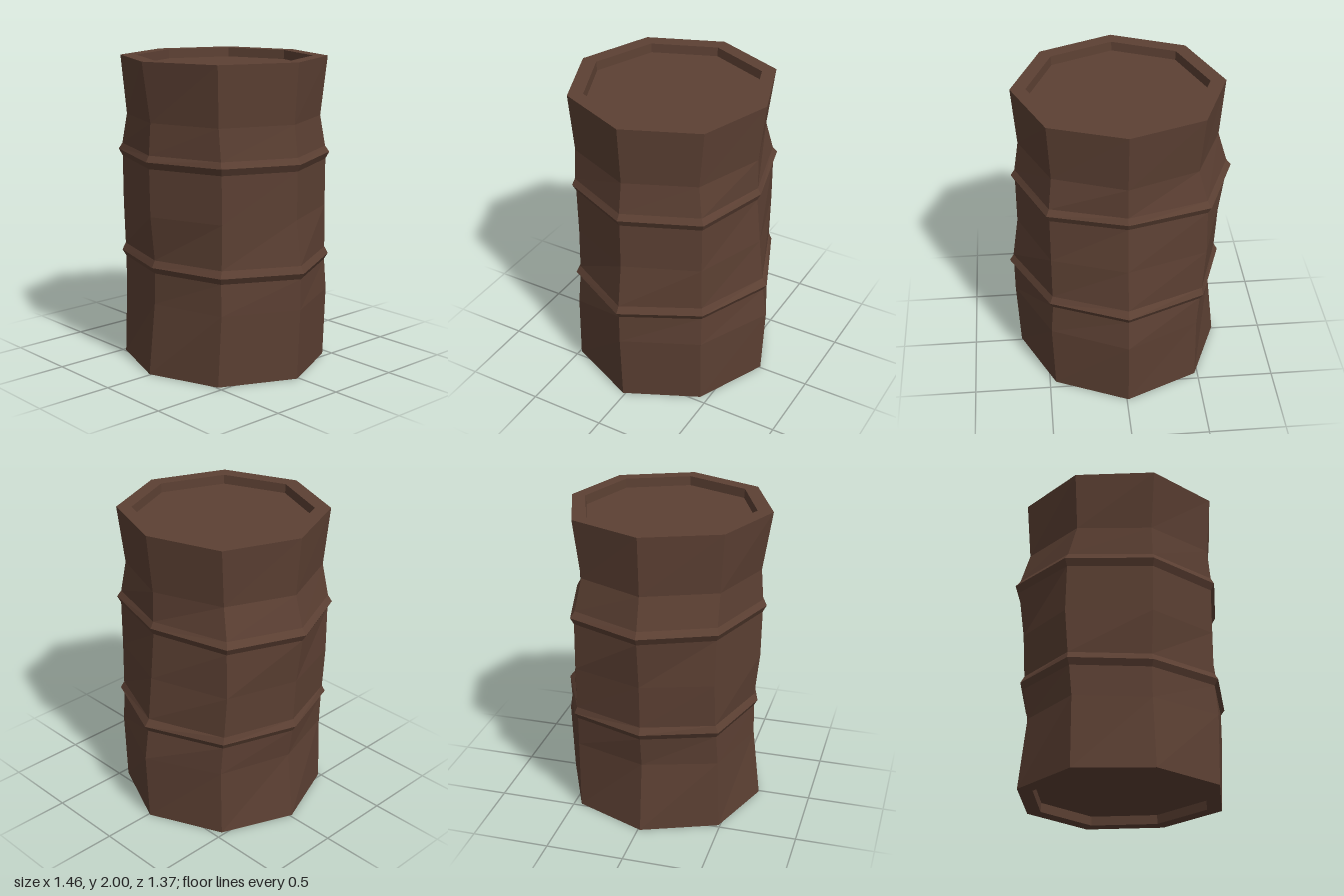
import * as THREE from 'three';

const material = new THREE.MeshStandardMaterial({ color: 0x5c4033, flatShading: true });

// Each dented ring: height, then reach to left, right, front, back,
// then corner reach to left, right, front, back
const RINGS = [
  [0.00, 0.68, 0.67, 0.66, 0.66, 0.46, 0.48, 0.49, 0.45],
  [0.46, 0.70, 0.62, 0.61, 0.68, 0.475, 0.475, 0.475, 0.455],
  [0.66, 0.70, 0.65, 0.605, 0.65, 0.46, 0.49, 0.465, 0.45],
  [0.745, 0.70, 0.65, 0.605, 0.64, 0.46, 0.50, 0.46, 0.45],
  [1.03, 0.66, 0.665, 0.635, 0.61, 0.46, 0.52, 0.455, 0.445],
  [1.335, 0.66, 0.705, 0.64, 0.58, 0.46, 0.515, 0.46, 0.445],
  [1.42, 0.66, 0.70, 0.64, 0.58, 0.46, 0.51, 0.465, 0.44],
  [1.62, 0.63, 0.64, 0.625, 0.575, 0.44, 0.455, 0.465, 0.41],
  [2.00, 0.66, 0.67, 0.685, 0.615, 0.46, 0.48, 0.49, 0.45],
].map(octagon);

// Eight corners, counter-clockwise seen from above
function octagon([y, l, r, f, b, cl, cr, cf, cb]) {
  return [
    [l, 0.015], [cl, -cb], [-0.01, -b], [-cr, -cb],
    [-r, 0.015], [-cr, cf], [-0.01, f], [cl, cf],
  ].map(([x, z]) => new THREE.Vector3(x, y, z));
}

// Copy of a ring scaled about the axis and set at a new height
const resize = (ring, s, y) => ring.map((p) => new THREE.Vector3(p.x * s, y, p.z * s));

function meshFrom(name, points) {
  const geometry = new THREE.BufferGeometry().setFromPoints(points);
  geometry.computeVertexNormals();
  const mesh = new THREE.Mesh(geometry, material);
  mesh.name = name;
  return mesh;
}

// Skin a stack of rings, each joined to the next
function loft(name, rings) {
  const points = [];
  for (let k = 0; k + 1 < rings.length; k++) {
    const low = rings[k], high = rings[k + 1];
    for (let i = 0; i < 8; i++) {
      const j = (i + 1) % 8;
      points.push(low[i], low[j], high[j], low[i], high[j], high[i]);
    }
  }
  return meshFrom(name, points);
}

// Flat end plate filling a ring
function plate(name, ring, up) {
  const centre = new THREE.Vector3(0, ring[0].y, 0);
  const points = [];
  for (let i = 0; i < 8; i++) {
    const a = ring[i], b = ring[(i + 1) % 8];
    points.push(centre, up ? a : b, up ? b : a);
  }
  return meshFrom(name, points);
}

export function createModel() {
  const barrel = new THREE.Group();
  barrel.name = 'barrel';

  // Wall panels between the hoops
  barrel.add(loft('lowerWall', RINGS.slice(0, 3)));
  barrel.add(loft('middleWall', RINGS.slice(3, 6)));
  barrel.add(loft('upperWall', RINGS.slice(6)));

  // Raised hoops with a sharp ridge
  for (const [name, k, y] of [['lowerHoop', 2, 0.70], ['upperHoop', 5, 1.38]]) {
    barrel.add(loft(name, [RINGS[k], resize(RINGS[k], 1.038, y), RINGS[k + 1]]));
  }

  // Top rim and sunken lid
  const top = RINGS[8];
  const topInner = resize(top, 0.853, 2);
  const lid = resize(top, 0.847, 1.94);
  barrel.add(loft('topRim', [top, topInner, lid]));
  barrel.add(plate('lid', lid, true));

  // Bottom rim and sunken base
  const bottom = RINGS[0];
  const bottomInner = resize(bottom, 0.853, 0);
  const base = resize(bottom, 0.847, 0.06);
  barrel.add(loft('bottomRim', [base, bottomInner, bottom]));
  barrel.add(plate('base', base, false));

  return barrel;
}
